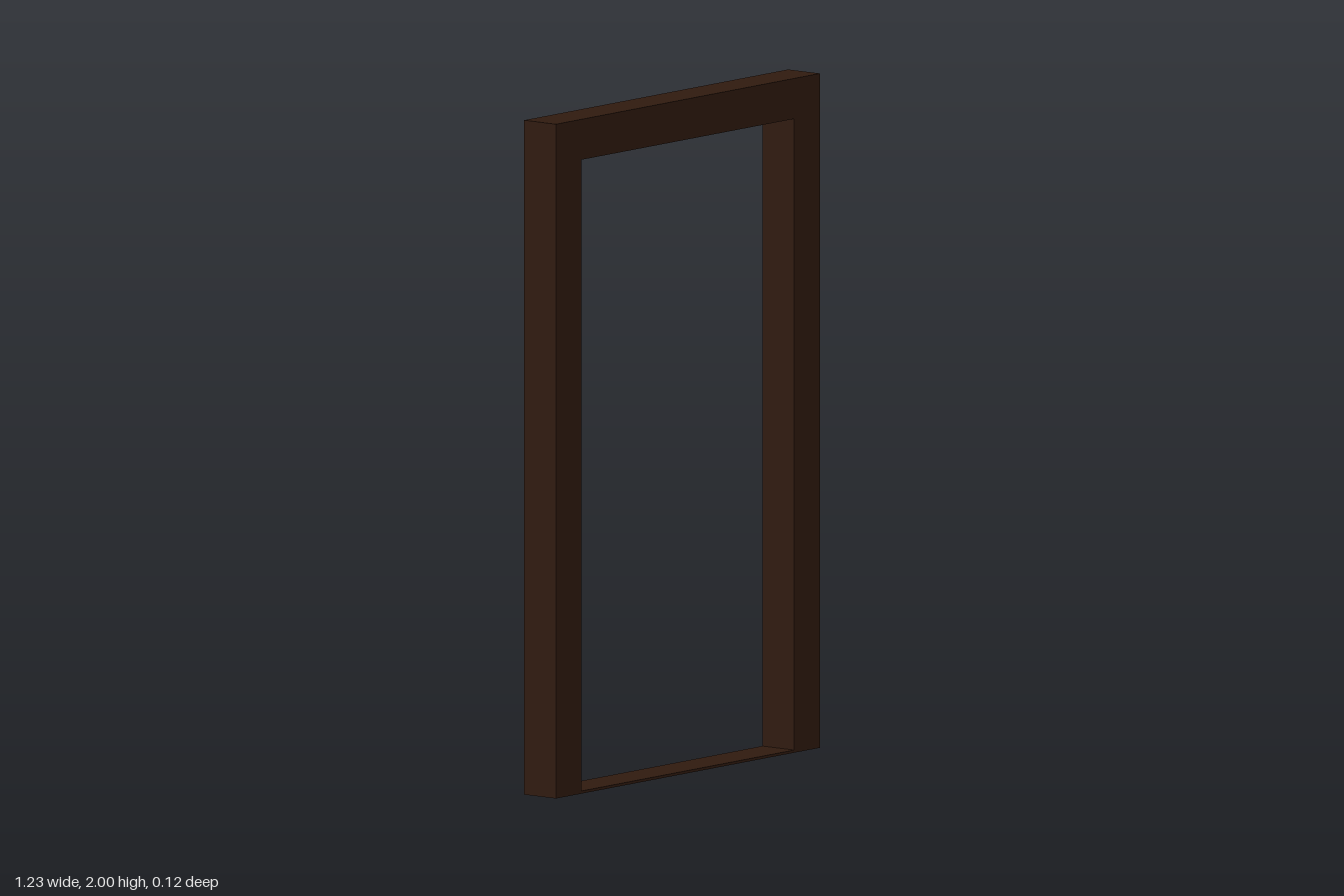
import * as THREE from 'three';

const HALF_WIDTH = 0.615, HEIGHT = 2, BOARD = 0.12, HALF_DEPTH = 0.06;

// Hollow square section swept up one jamb, across the head and down the other; open at the feet.
function frameGeometry() {
  const inX = HALF_WIDTH - BOARD, inY = HEIGHT - BOARD;
  const stations = [[-1, 0], [-1, 1], [1, 1], [1, 0]]; // side, foot or head
  const rings = stations.map(([side, up]) => {
    const outer = [side * HALF_WIDTH, up * HEIGHT];
    const inner = [side * inX, up * inY];
    return [
      [...outer, HALF_DEPTH], [...inner, HALF_DEPTH],
      [...inner, -HALF_DEPTH], [...outer, -HALF_DEPTH],
    ];
  });
  const positions = [];
  for (let i = 0; i < rings.length - 1; i++) {
    for (let j = 0; j < 4; j++) {
      const k = (j + 1) % 4;
      const a = rings[i][j], b = rings[i][k], c = rings[i + 1][k], d = rings[i + 1][j];
      positions.push(...a, ...b, ...c, ...a, ...c, ...d);
    }
  }
  const geometry = new THREE.BufferGeometry();
  geometry.setAttribute('position', new THREE.Float32BufferAttribute(positions, 3));
  geometry.computeVertexNormals();
  return geometry;
}

export function createModel() {
  const group = new THREE.Group();
  group.name = 'doorFrame';
  const wood = new THREE.MeshStandardMaterial({ color: 0x301a0f, side: THREE.DoubleSide });

  // Jambs and head
  const frame = new THREE.Mesh(frameGeometry(), wood);
  frame.name = 'jambsAndHead';
  group.add(frame);

  // Thin threshold between the jambs
  const thickness = 0.008;
  const sill = new THREE.Mesh(
    new THREE.BoxGeometry(2 * (HALF_WIDTH - BOARD), thickness, 2 * HALF_DEPTH), wood);
  sill.position.y = thickness / 2;
  sill.name = 'threshold';
  group.add(sill);

  return group;
}
